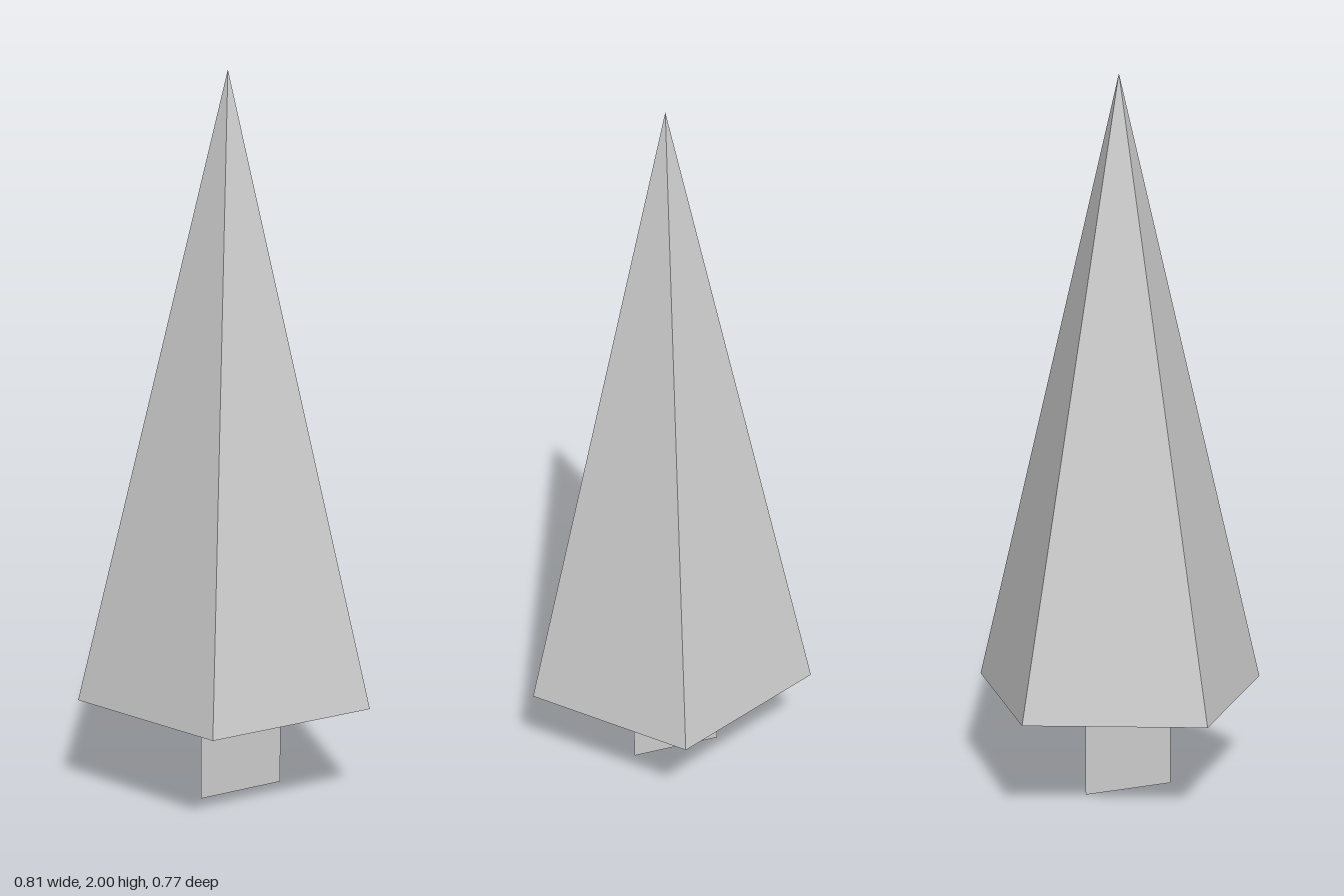
import * as THREE from 'three';

const CENTRE_Z = 0.04;
const TRUNK_TOP = 0.275;
const HEIGHT = 2;

export function createModel() {
  const tree = new THREE.Group();
  tree.name = 'tree';

  // Adds an upright low-poly part with one corner pointing to the back
  function addPart(name, topRadius, radius, sides, bottom, top, open) {
    const height = top - bottom;
    const geometry = new THREE.CylinderGeometry(topRadius, radius, height, sides, 1, open, Math.PI);
    const material = new THREE.MeshStandardMaterial({
      color: 0xcccccc,
      flatShading: true,
      side: open ? THREE.DoubleSide : THREE.FrontSide,
    });
    const mesh = new THREE.Mesh(geometry, material);
    mesh.name = name;
    mesh.position.set(0, bottom + height / 2, CENTRE_Z);
    tree.add(mesh);
  }

  // Three-sided trunk, open at its ends
  addPart('trunk', 0.15, 0.15, 3, 0, TRUNK_TOP, true);
  // Five-sided pointed crown with a closed base
  addPart('foliage', 0, 0.425, 5, TRUNK_TOP, HEIGHT, false);

  return tree;
}
